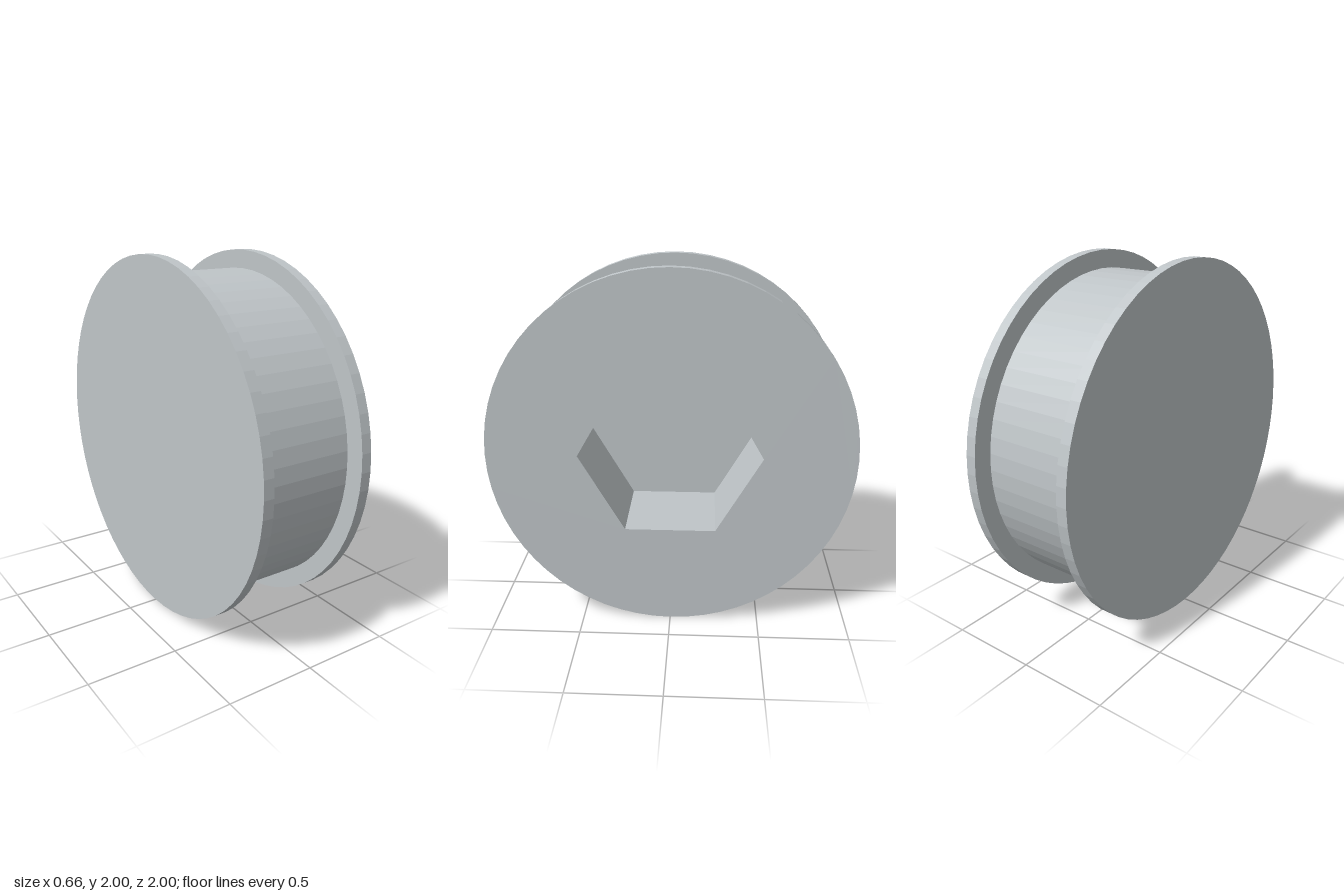
import * as THREE from 'three';

const SIDES = 64;
const HALF = 0.33;        // half of the total width
const INNER = 0.27;       // inner face of each flange
const DRUM_R = 0.9;
const FLANGE_R = 1;
const HEX_R = 0.5;
const FLOOR = HALF - 0.5; // bottom of the hexagonal socket

// Turned part about the x axis; profile is a list of [radius, x], faceted
function turned(profile, sides) {
  const points = profile.map(([r, x]) => new THREE.Vector2(r, x));
  const geometry = new THREE.LatheGeometry(points, sides).toNonIndexed();
  geometry.computeVertexNormals();
  geometry.rotateZ(-Math.PI / 2);
  return geometry;
}

// Corner points of a regular polygon
function polygon(radius, sides) {
  return Array.from({ length: sides }, (_, i) => {
    const a = (i / sides) * Math.PI * 2;
    return new THREE.Vector2(Math.cos(a) * radius, Math.sin(a) * radius);
  });
}

export function createModel() {
  const group = new THREE.Group();
  group.name = 'flangedRoller';
  const metal = new THREE.MeshStandardMaterial({ color: 0xbfc5c8 });
  metal.name = 'light grey metal';

  const add = (name, geometry) => {
    const mesh = new THREE.Mesh(geometry, metal);
    mesh.name = name;
    mesh.position.y = FLANGE_R;
    group.add(mesh);
  };

  // Closed flange on the right, drum and open flange on the left
  add('closedFlange', turned([[0, -HALF], [FLANGE_R, -HALF], [FLANGE_R, -INNER], [DRUM_R, -INNER]], SIDES));
  add('drum', turned([[DRUM_R, -INNER], [DRUM_R, INNER]], SIDES));
  add('socketFlange', turned([[DRUM_R, INNER], [FLANGE_R, INNER], [FLANGE_R, HALF]], SIDES));

  // Outer face with the hexagonal opening
  const face = new THREE.Shape(polygon(FLANGE_R, SIDES));
  face.holes.push(new THREE.Path(polygon(HEX_R, 6)));
  const faceGeometry = new THREE.ShapeGeometry(face);
  faceGeometry.rotateY(Math.PI / 2).translate(HALF, 0, 0);
  add('socketFace', faceGeometry);

  // Walls and floor of the hexagonal socket
  add('hexSocket', turned([[HEX_R, HALF], [HEX_R, FLOOR], [0, FLOOR]], 6));

  return group;
}
